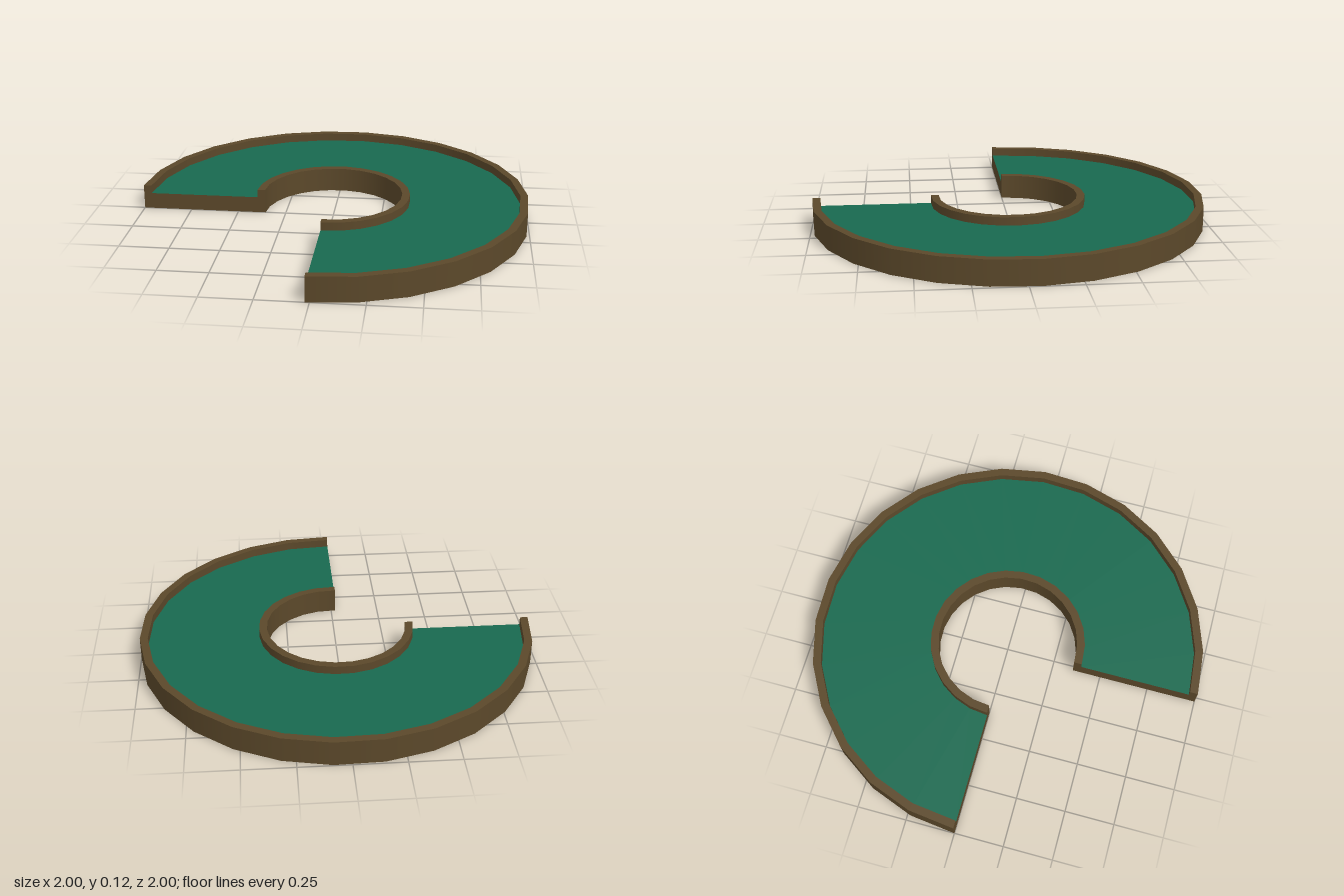
import * as THREE from 'three';

const SEGMENTS = 20;
const START = THREE.MathUtils.degToRad(-1.4);
const SWEEP = THREE.MathUtils.degToRad(271.4);
const CUT_X = -0.021; // straight cut at the front end
const OUTER = 1, OUTER_LIP = 0.96, INNER_LIP = 0.396, INNER = 0.356;
const HEIGHT = 0.125, FLOOR = 0.083;

// Thin open shell, hollow underneath
const wood = new THREE.MeshStandardMaterial({ color: 0x5b482a, side: THREE.DoubleSide });
wood.name = 'brownWood';
const felt = new THREE.MeshStandardMaterial({ color: 0x18694f, side: THREE.DoubleSide });
felt.name = 'greenFelt';

// Partial ring between two [radius, height] points
function ring(name, from, to, material) {
  const profile = [from, to].map(([r, y]) => new THREE.Vector2(r, y));
  const geometry = new THREE.LatheGeometry(profile, SEGMENTS, START, SWEEP);
  // The first column of points lies on the straight cut
  const position = geometry.attributes.position;
  for (let i = 0; i < profile.length; i++) position.setX(i, CUT_X);
  const mesh = new THREE.Mesh(geometry, material);
  mesh.name = name;
  return mesh;
}

// Rim made of an outside wall, a top and a short lip down to the felt
function rim(name, points) {
  const group = new THREE.Group();
  group.name = name;
  for (let i = 0; i < points.length - 1; i++) {
    group.add(ring(`${name}Face${i + 1}`, points[i], points[i + 1], wood));
  }
  return group;
}

// Flat cross-section closing one end; side is 1 at the front cut, -1 at the other
function endCap(name, angle, side) {
  const section = [
    [INNER, 0], [OUTER, 0], [OUTER, HEIGHT], [OUTER_LIP, HEIGHT],
    [OUTER_LIP, FLOOR], [INNER_LIP, FLOOR], [INNER_LIP, HEIGHT], [INNER, HEIGHT],
  ];
  const shape = new THREE.Shape(section.map(([r, y]) => new THREE.Vector2(side * r, y)));
  const mesh = new THREE.Mesh(new THREE.ShapeGeometry(shape), wood);
  mesh.rotation.y = angle - side * Math.PI / 2;
  mesh.name = name;
  return mesh;
}

export function createModel() {
  const model = new THREE.Group();
  model.name = 'curvedTableTop';

  // Raised wooden edges
  model.add(rim('outerRim', [[OUTER, 0], [OUTER, HEIGHT], [OUTER_LIP, HEIGHT], [OUTER_LIP, FLOOR]]));
  model.add(rim('innerRim', [[INNER_LIP, FLOOR], [INNER_LIP, HEIGHT], [INNER, HEIGHT], [INNER, 0]]));

  // Felt surface, seen from above and below
  model.add(ring('playSurface', [OUTER_LIP, FLOOR], [INNER_LIP, FLOOR], felt));

  // Cut ends
  const frontEnd = endCap('frontEnd', 0, 1);
  frontEnd.position.x = CUT_X;
  model.add(frontEnd, endCap('sideEnd', START + SWEEP, -1));
  return model;
}
